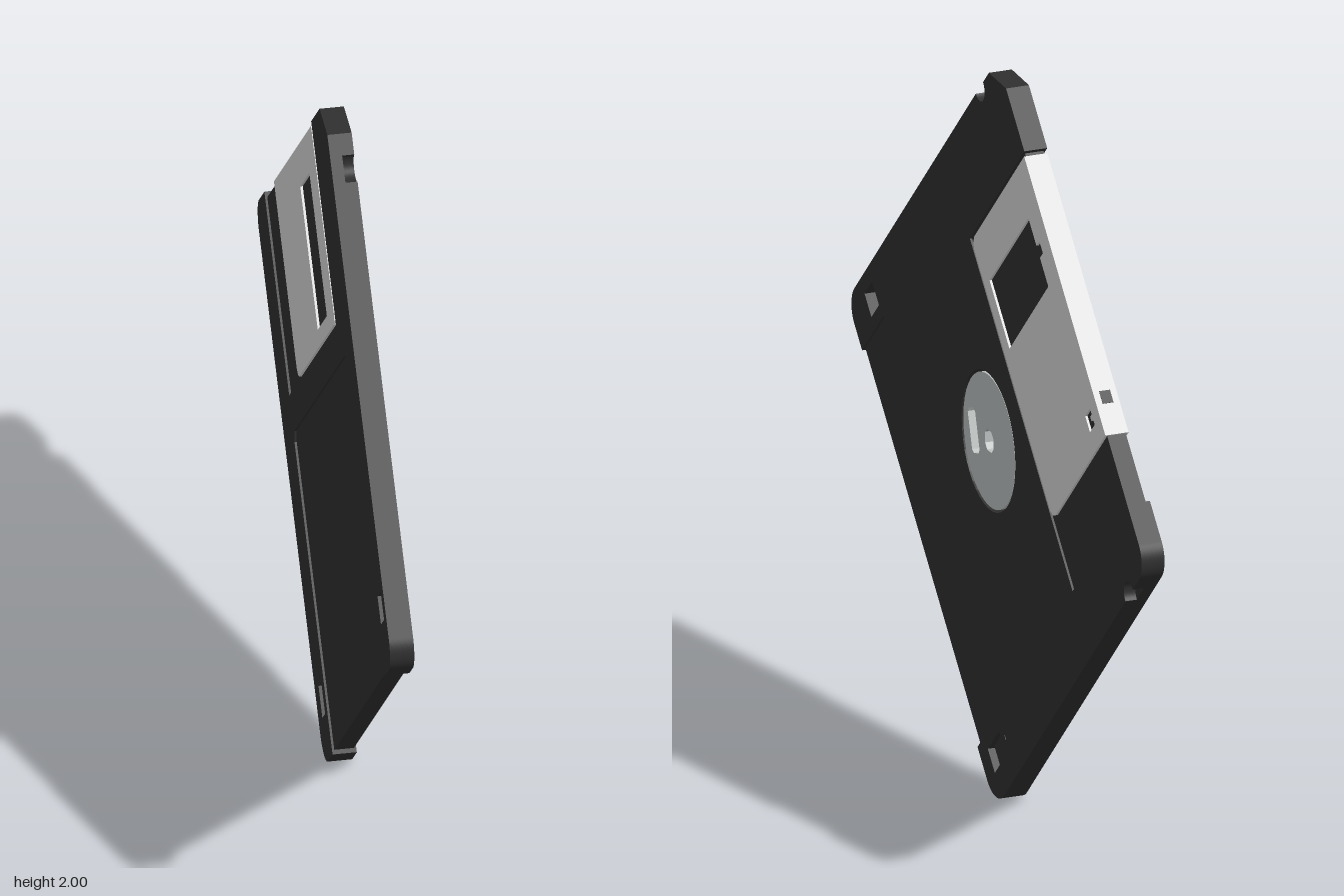
import * as THREE from 'three';

const W = 0.737, H = 0.746;      // half width and half height of the case
const T = 0.032, SKIN = 0.006;   // half thickness, depth of surface recesses

const black = new THREE.MeshStandardMaterial({ color: 0x303030 });
black.name = 'blackPlastic';
const steel = new THREE.MeshStandardMaterial({ color: 0xdcdcdc });
steel.name = 'shutterMetal';
const zinc = new THREE.MeshStandardMaterial({ color: 0xbfc4c3 });
zinc.name = 'hubMetal';

// Closed path from corner points
function poly(pts, Kind = THREE.Path) {
  return new Kind(pts.map(([x, y]) => new THREE.Vector2(x, y)));
}

// Rotated rectangle with clipped corners
function rect(cx, cy, w, h, angle = 0, clip = 0, Kind = THREE.Path) {
  const x = w / 2, y = h / 2, c = clip;
  const raw = c
    ? [[-x + c, -y], [x - c, -y], [x, -y + c], [x, y - c], [x - c, y], [-x + c, y], [-x, y - c], [-x, -y + c]]
    : [[-x, -y], [x, -y], [x, y], [-x, y]];
  const s = Math.sin(angle), k = Math.cos(angle);
  return poly(raw.map(([p, q]) => [cx + p * k - q * s, cy + p * s + q * k]), Kind);
}

function circle(cx, cy, r, Kind = THREE.Path) {
  return new Kind().absarc(cx, cy, r, 0, Math.PI * 2, false);
}

// Case outline with a cut in the top and bottom edges, optional round side notches
function outline({ topY, botY, clip = 0, notches = false }) {
  const s = new THREE.Shape(), P = Math.PI, r = 0.07, rb = 0.085, n = 0.036;
  const [l0, l1, t0, t1] = [-0.557, 0.59, -0.55, 0.47];
  s.moveTo(-W + rb, -H);
  s.lineTo(l0, -H);
  s.lineTo(l0, botY - clip);
  if (clip) s.lineTo(l0 + clip, botY);
  if (clip) s.lineTo(l1 - clip, botY);
  s.lineTo(l1, botY - clip);
  s.lineTo(l1, -H);
  s.absarc(W - r, -H + r, r, -P / 2, 0, false);
  if (notches) {
    s.lineTo(W, 0.567 - n);
    s.absarc(W, 0.567, n, -P / 2, P / 2, true);
  }
  s.lineTo(W, H - 0.085);
  s.lineTo(W - 0.085, H);
  s.lineTo(t1, H);
  s.lineTo(t1, topY);
  s.lineTo(t0, topY);
  s.lineTo(t0, H);
  s.absarc(-W + r, H - r, r, P / 2, P, false);
  if (notches) {
    s.lineTo(-W, 0.58 + n);
    s.absarc(-W, 0.58, n, P / 2, -P / 2, true);
  }
  s.absarc(-W + rb, -H + rb, rb, P, P * 1.5, false);
  return s;
}

export function createModel() {
  const model = new THREE.Group();
  model.name = 'diskette';
  const disk = new THREE.Group();
  disk.name = 'tiltedDiskette';
  model.add(disk);

  // Extrude a shape between two depths
  function slab(name, shape, holes, z0, z1, material) {
    shape.holes.push(...holes);
    const g = new THREE.ExtrudeGeometry(shape, { depth: z1 - z0, bevelEnabled: false, curveSegments: 20 });
    g.translate(0, 0, z0);
    const m = new THREE.Mesh(g, material);
    m.name = name;
    disk.add(m);
  }
  function box(name, x, y, z, w, h, d, material) {
    const m = new THREE.Mesh(new THREE.BoxGeometry(w, h, d), material);
    m.position.set(x, y, z);
    m.name = name;
    disk.add(m);
  }

  const HUB = [0.012, -0.068];
  const frontHoles = () => [rect(0.66, -0.58, 0.068, 0.075), rect(-0.632, -0.587, 0.06, 0.085)];
  const backHoles = () => [
    rect(0.66, -0.58, 0.068, 0.075), rect(-0.628, -0.625, 0.07, 0.11), circle(...HUB, 0.189),
  ];
  const edge = { topY: 0.731, botY: -0.734 };
  const In = T - SKIN;

  // Case: two core halves and two thin skins holding the shutter and label recesses
  slab('caseFrontHalf', outline(edge), frontHoles(), 0, In, black);
  slab('caseBackHalf', outline({ ...edge, notches: true }), backHoles(), -In, 0, black);
  slab('frontSkin', outline({ topY: 0.205, botY: 0.108, clip: 0.025 }), frontHoles(), In, T, black);
  slab('backSkin', outline({ topY: 0.205, botY: -0.508, clip: 0.025, notches: true }),
    backHoles(), -T, -In, black);

  // Write-protect slider and its small detent
  box('writeProtectSlider', -0.63, -0.605, -0.002, 0.075, 0.125, 0.03, black);
  box('sliderDetent', -0.627, -0.545, -T, 0.015, 0.015, 0.003, black);

  // Sliding metal shutter: front plate, back plate and the fold over the top edge
  const x0 = -0.347, x1 = 0.46, y0 = 0.213, y1 = 0.736, c = 0.028;
  const plate = () => poly([
    [x0 + c, y0], [x1 - c, y0], [x1 - c * 0.3, y0 + c * 0.3], [x1, y0 + c], [x1, y1],
    [x0, y1], [x0, y0 + c], [x0 + c * 0.3, y0 + c * 0.3],
  ], THREE.Shape);
  slab('shutterFront', plate(), [rect(0.226, 0.446, 0.198, 0.38)], In, T + 0.0005, steel);
  const backWindow = poly([
    [0.127, 0.257], [0.325, 0.257], [0.325, 0.643], [0.245, 0.643], [0.245, 0.672],
    [0.21, 0.672], [0.21, 0.643], [0.127, 0.643],
  ]);
  const springHole = poly([
    [-0.292, 0.638], [-0.245, 0.638], [-0.245, 0.685], [-0.262, 0.685],
    [-0.262, 0.67], [-0.275, 0.67], [-0.275, 0.685], [-0.292, 0.685],
  ]);
  slab('shutterBack', plate(), [backWindow, springHole], -T - 0.0005, -In, steel);
  box('shutterFold', (x0 + x1) / 2, 0.733, 0, x1 - x0, 0.006, In * 2, steel);
  box('shutterFoldHole', -0.24, 0.7365, 0, 0.036, 0.002, 0.03, black);

  // Drive hub with its centre hole and drive slot
  const hubHoles = [
    rect(HUB[0], HUB[1], 0.058, 0.058, Math.PI / 4, 0.014),
    rect(HUB[0] + 0.07, HUB[1] - 0.085, 0.12, 0.055, 0.47, 0.01),
  ];
  slab('driveHub', circle(...HUB, 0.182, THREE.Shape), hubHoles, -T + 0.002, 0, zinc);

  // Stand the diskette on one corner, turned about the vertical
  disk.rotation.set(0, -Math.PI / 4, Math.PI / 4, 'YXZ');
  disk.position.set(0, 1.012, 0);
  return model;
}
